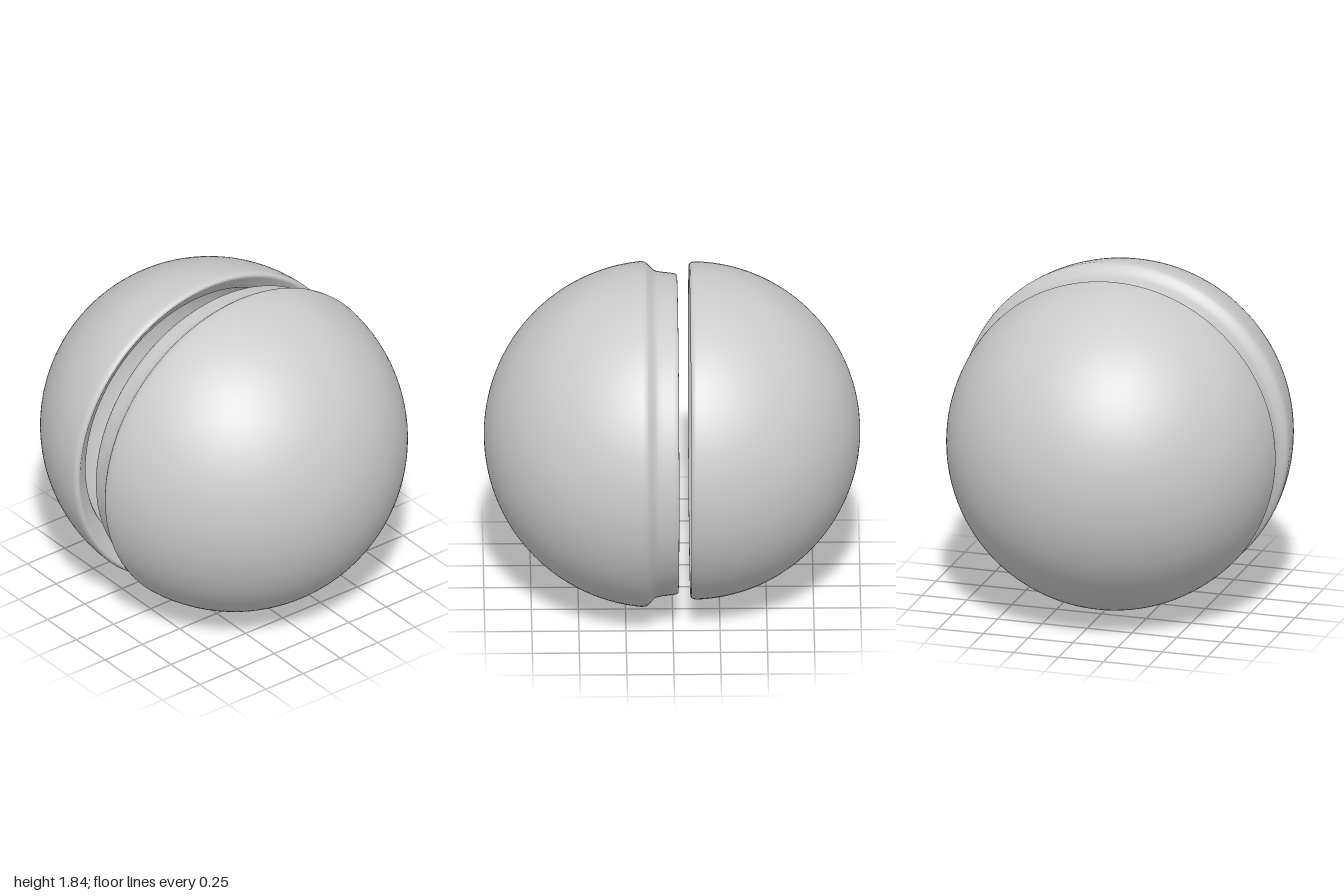
import * as THREE from 'three';

const material = new THREE.MeshStandardMaterial({ color: 0xcccccc });

// Points [radius, z] along a circular arc; angles measured from the rim plane towards +z
function arc(radius, centreZ, from, to, steps) {
  const points = [];
  for (let i = 0; i <= steps; i++) {
    const a = from + (to - from) * i / steps;
    points.push([Math.max(0, radius * Math.cos(a)), centreZ + radius * Math.sin(a)]);
  }
  return points;
}

// Turns a closed [radius, z] profile around the z axis
function turned(name, profile, x, y) {
  const geometry = new THREE.LatheGeometry(profile.map(([r, z]) => new THREE.Vector2(r, z)), 128);
  geometry.rotateX(Math.PI / 2);
  const mesh = new THREE.Mesh(geometry, material);
  mesh.name = name;
  mesh.position.set(x, y, 0);
  return mesh;
}

export function createModel() {
  const group = new THREE.Group();
  group.name = 'splitBall';
  const quarter = Math.PI / 2;

  // Front half: hollow bowl with a stepped neck that plugs into the back half
  const front = [
    ...arc(0.78, 0.06, quarter, 0, 24),
    [0.78, -0.015], [0.795, -0.03], [0.836, -0.03], [0.846, -0.029],
    [0.853, -0.02], [0.856, 0.0], [0.862, 0.05], [0.867, 0.08],
    [0.873, 0.095], [0.89, 0.112], [0.908, 0.13], [0.916, 0.142],
    ...arc(0.923, 0.077, 0.095, quarter, 40),
  ];
  group.add(turned('frontHalf', front, 0, 0.923));

  // Back half: hollow bowl with a rounded edge and a flared seat for the neck
  const back = [
    ...arc(0.899, -0.101, -quarter, -0.025, 40),
    [0.896, -0.11], [0.89, -0.098], [0.882, -0.094], [0.872, -0.096],
    [0.86, -0.106], [0.82, -0.138], [0.78, -0.166],
    ...arc(0.77, -0.14, -0.06, -quarter, 24),
  ];
  group.add(turned('backHalf', back, -0.03, 0.927));

  return group;
}
